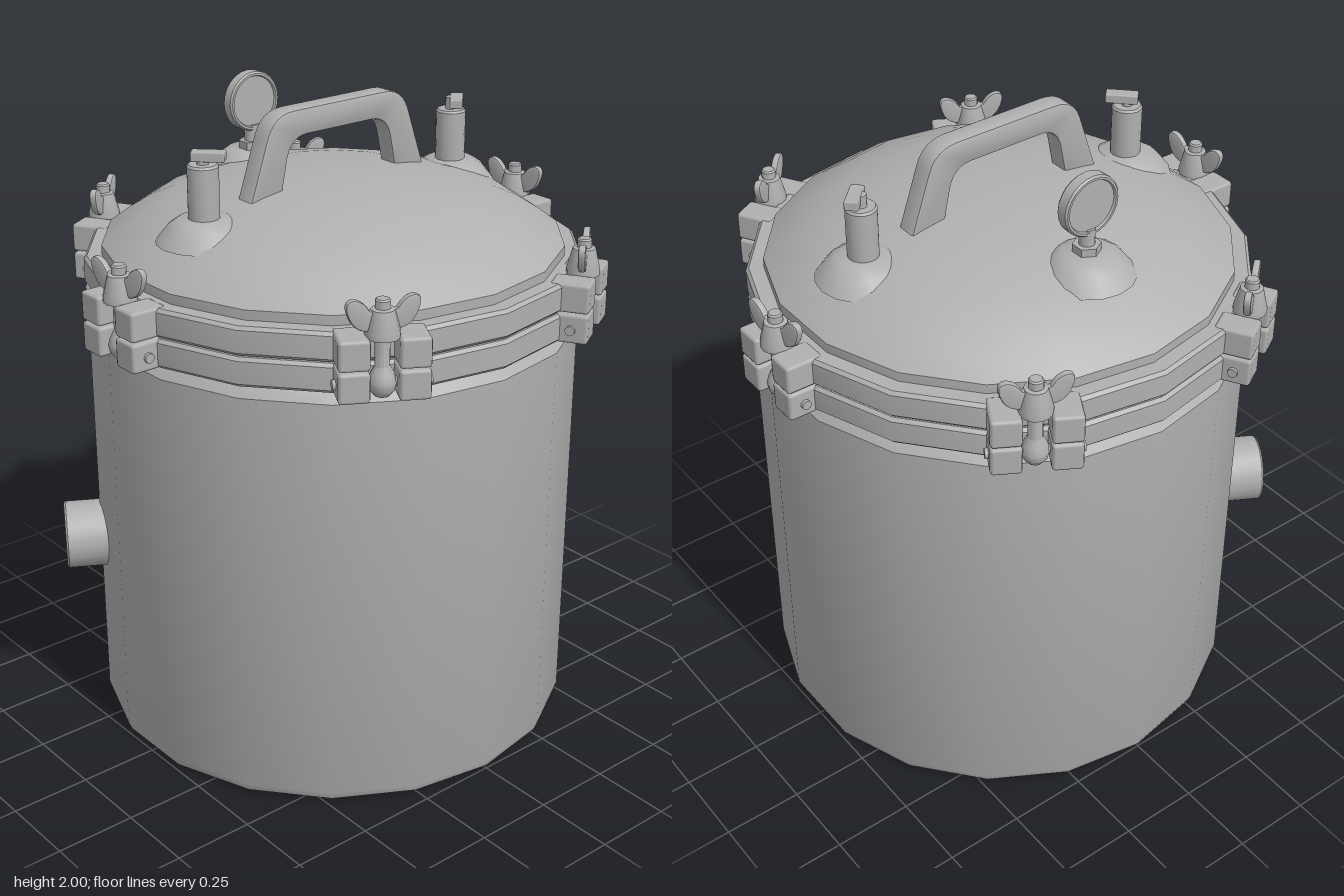
import * as THREE from 'three';
import { toCreasedNormals } from 'three/addons/utils/BufferGeometryUtils.js';
import { RoundedBoxGeometry } from 'three/addons/geometries/RoundedBoxGeometry.js';

const SIDES = 18;

export function createModel() {
  const metal = new THREE.MeshStandardMaterial({ color: 0xb0b0b0 });
  metal.name = 'brushed metal';
  const model = new THREE.Group();
  model.name = 'pressureVessel';

  const add = (parent, name, geo, x = 0, y = 0, z = 0) => {
    const mesh = new THREE.Mesh(geo, metal);
    mesh.name = name;
    mesh.position.set(x, y, z);
    parent.add(mesh);
    return mesh;
  };
  const lathe = (pts, sides = SIDES, crease = 0.6) =>
    toCreasedNormals(new THREE.LatheGeometry(pts.map(p => new THREE.Vector2(...p)), sides), crease);
  const group = (name, x = 0, y = 0, z = 0) => {
    const g = new THREE.Group();
    g.name = name;
    g.position.set(x, y, z);
    model.add(g);
    return g;
  };
  const slab = (shape, depth, bevel) => {
    const geo = new THREE.ExtrudeGeometry(shape, {
      depth: depth - 2 * bevel, bevelEnabled: true, bevelSize: bevel,
      bevelThickness: bevel, bevelOffset: -bevel, bevelSegments: 2, curveSegments: 6,
    });
    geo.translate(0, 0, -depth / 2 + bevel);
    return toCreasedNormals(geo, 0.6);
  };

  // Pot
  add(model, 'pot', lathe([[0, 0], [0.73, 0], [0.75, 0.01], [0.76, 0.035],
    [0.76, 1.325], [0.73, 1.365], [0, 1.365]]));

  // Two stacked flanges
  const flange = (y0, y1) => lathe([[0.69, y0], [0.755, y0], [0.765, y0 + 0.01],
    [0.765, y1 - 0.01], [0.755, y1], [0.69, y1]]);
  add(model, 'potFlange', flange(1.36, 1.448));
  add(model, 'flangeSeal', lathe([[0.745, 1.44], [0.745, 1.46]]));
  add(model, 'lidFlange', flange(1.452, 1.54));

  // Domed lid
  add(model, 'lid', lathe([[0.71, 1.53], [0.71, 1.57], [0.65, 1.615], [0.58, 1.66], [0.5, 1.695],
    [0.4, 1.726], [0.3, 1.747], [0.2, 1.76], [0.1, 1.768], [0, 1.771]]));

  // Raised pads under the valves and the gauge
  for (const [x, z, y, r] of [[-0.485, 0, 1.72, 0.075], [0.485, 0, 1.72, 0.075], [0, -0.41, 1.753, 0.075]]) {
    add(model, 'lidPad', lathe([[r + 0.07, y - 0.07], [r + 0.03, y - 0.02], [r, y], [0, y]], 16, 1), x, 0, z);
  }

  // Carrying handle
  const arch = new THREE.Shape();
  arch.moveTo(-0.34, 1.73);
  arch.lineTo(-0.275, 1.92);
  arch.quadraticCurveTo(-0.25, 1.99, -0.175, 1.99);
  arch.lineTo(0.175, 1.99);
  arch.quadraticCurveTo(0.25, 1.99, 0.275, 1.92);
  arch.lineTo(0.34, 1.73);
  arch.lineTo(0.225, 1.73);
  arch.lineTo(0.2, 1.85);
  arch.quadraticCurveTo(0.185, 1.91, 0.125, 1.91);
  arch.lineTo(-0.125, 1.91);
  arch.quadraticCurveTo(-0.185, 1.91, -0.2, 1.85);
  arch.lineTo(-0.225, 1.73);
  arch.closePath();
  add(model, 'handle', slab(arch, 0.068, 0.008));

  // Relief valves on either side of the handle
  for (const s of [-1, 1]) {
    const valve = group('reliefValve', s * 0.485, 0, 0);
    add(valve, 'valvePost', lathe([[0.047, 1.69], [0.047, 1.873], [0.042, 1.88], [0, 1.88]], 16));
    add(valve, 'valveNeck', new THREE.CylinderGeometry(0.018, 0.018, 0.045, 10), 0, 1.895, 0);
    const lever = add(valve, 'valveLever', new RoundedBoxGeometry(0.1, 0.03, 0.042, 1, 0.005), 0.012, 1.904, 0.012);
    lever.rotation.y = s < 0 ? -Math.PI / 4 : Math.PI / 4;
  }

  // Pressure gauge with a raised bezel on both faces
  const gauge = group('pressureGauge', 0, 0, -0.405);
  add(gauge, 'gaugeNut', toCreasedNormals(new THREE.CylinderGeometry(0.042, 0.042, 0.025, 6), 0.5), 0, 1.765, 0);
  add(gauge, 'gaugeStem', new THREE.CylinderGeometry(0.024, 0.024, 0.07, 12), 0, 1.795, 0);
  const dial = add(gauge, 'gaugeDial', lathe([[0, -0.015], [0.08, -0.015], [0.083, -0.022], [0.09, -0.022],
    [0.095, -0.016], [0.095, 0.016], [0.09, 0.022], [0.083, 0.022], [0.08, 0.015], [0, 0.015]], 24), 0, 1.905, 0);
  dial.rotation.x = Math.PI / 2;

  // Power socket at the rear right, its local +y pointing outward
  const socket = group('powerSocket', -0.7 * Math.cos(Math.PI / 6), 0.6, -0.7 * Math.sin(Math.PI / 6));
  socket.rotation.set(0, -Math.PI / 6, Math.PI / 2);
  socket.rotation.order = 'YXZ';
  add(socket, 'socketShell', lathe([[0.108, 0], [0.108, 0.168], [0.103, 0.174], [0.084, 0.174],
    [0.08, 0.17], [0.08, 0.12], [0, 0.12]], 20));
  for (let i = 0; i < 3; i++) {
    const a = i * Math.PI * 2 / 3;
    add(socket, 'socketPin', lathe([[0.015, 0.11], [0.015, 0.145], [0.009, 0.153], [0, 0.153]], 10),
      Math.cos(a) * 0.042, 0, Math.sin(a) * 0.042);
  }

  // Wing outline, shared by every wing nut
  const wing = new THREE.Shape();
  wing.moveTo(0.01, 1.555);
  wing.lineTo(0.045, 1.555);
  wing.quadraticCurveTo(0.085, 1.56, 0.1, 1.6);
  wing.quadraticCurveTo(0.118, 1.645, 0.09, 1.65);
  wing.quadraticCurveTo(0.06, 1.65, 0.04, 1.615);
  wing.lineTo(0.01, 1.61);
  wing.closePath();
  const wingGeo = slab(wing, 0.022, 0.006);
  const lugGeo = new RoundedBoxGeometry(0.12, 0.09, 0.09, 1, 0.01);
  const boltGeo = lathe([[0, 1.36], [0.022, 1.363], [0.036, 1.38], [0.041, 1.402], [0.034, 1.428],
    [0.022, 1.45], [0.022, 1.64], [0.018, 1.645], [0, 1.645]], 12);
  const nutGeo = lathe([[0.022, 1.535], [0.05, 1.535], [0.05, 1.55], [0.034, 1.615], [0.022, 1.618]], 14);

  // Six swing-bolt clamps, each built facing +x
  for (let i = 0; i < 6; i++) {
    const clamp = group('clamp');
    clamp.rotation.y = i * Math.PI / 3;
    for (const s of [-1, 1]) {
      add(clamp, 'lowerLug', lugGeo, 0.776, 1.404, s * 0.085);
      add(clamp, 'upperLug', lugGeo, 0.776, 1.498, s * 0.085);
    }
    const pin = add(clamp, 'hingePin', new THREE.CylinderGeometry(0.015, 0.015, 0.28, 10), 0.785, 1.402, 0);
    pin.rotation.x = Math.PI / 2;
    add(clamp, 'swingBolt', boltGeo, 0.785, 0, 0);
    const nut = new THREE.Group();
    nut.name = 'wingNut';
    nut.position.x = 0.785;
    nut.rotation.y = Math.PI / 2 + 0.15;
    clamp.add(nut);
    add(nut, 'nutHub', nutGeo);
    add(nut, 'nutWing', wingGeo);
    add(nut, 'nutWing', wingGeo).rotation.y = Math.PI;
  }
  return model;
}
